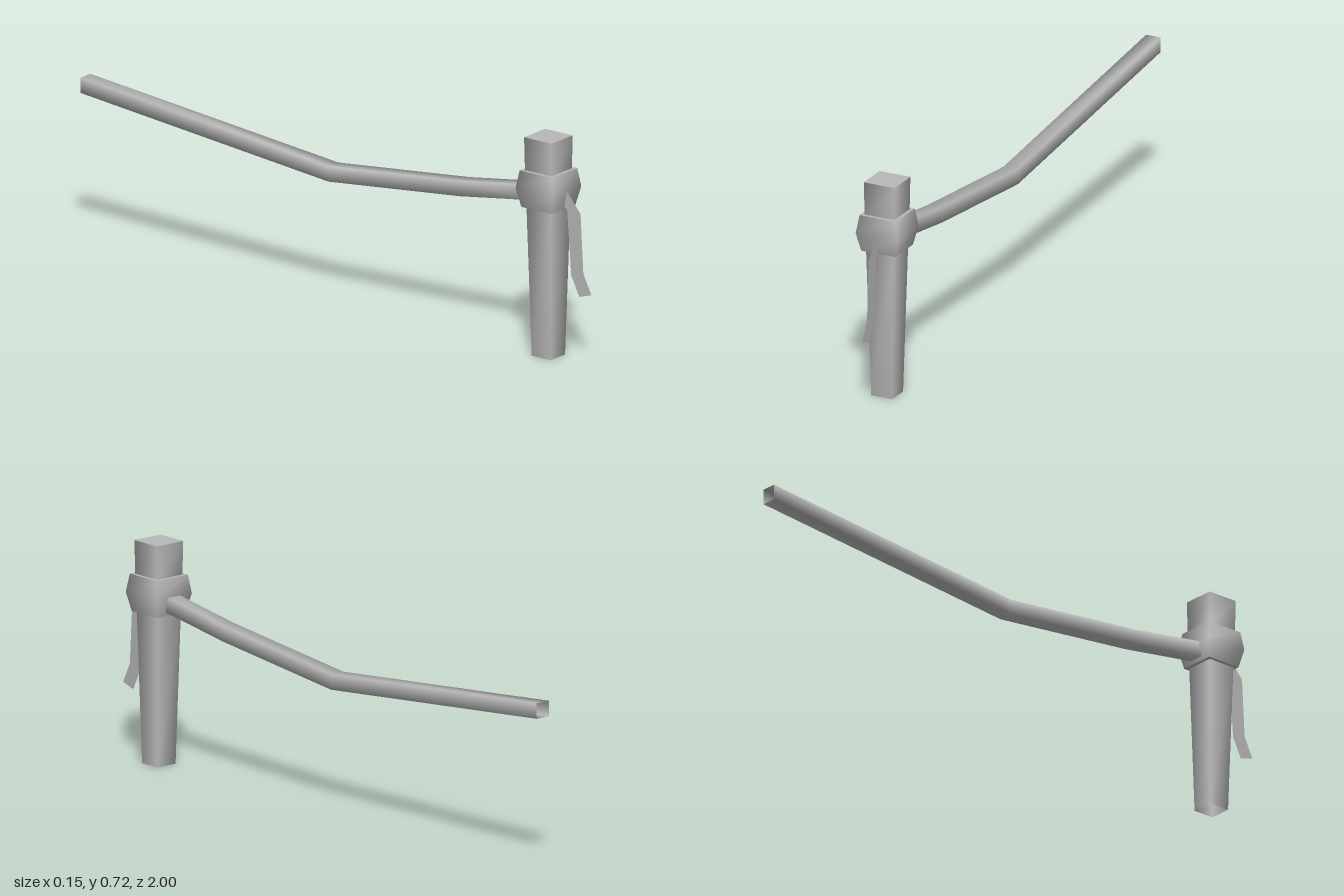
import * as THREE from 'three';

// Smooth square-section skin through rings of four corners
function loft(rings, capStart, capEnd) {
  const pos = [], idx = [];
  rings.forEach(r => r.forEach(p => pos.push(...p)));
  for (let i = 0; i < rings.length - 1; i++) {
    for (let j = 0; j < 4; j++) {
      const a = i * 4 + j, b = i * 4 + (j + 1) % 4;
      idx.push(a, b, b + 4, a, b + 4, a + 4);
    }
  }
  // Caps get their own corners so their edges stay sharp
  const cap = (ring, flip) => {
    const n = pos.length / 3;
    ring.forEach(p => pos.push(...p));
    idx.push(...(flip ? [n, n + 2, n + 1, n, n + 3, n + 2] : [n, n + 1, n + 2, n, n + 2, n + 3]));
  };
  if (capStart) cap(rings[0], true);
  if (capEnd) cap(rings[rings.length - 1], false);
  const g = new THREE.BufferGeometry();
  g.setAttribute('position', new THREE.Float32BufferAttribute(pos, 3));
  g.setIndex(idx);
  g.computeVertexNormals();
  return g;
}

const SIGNS = [[-1, 1], [1, 1], [1, -1], [-1, -1]];
const POST_Z = 0.83;
const levelRing = ([half, y]) => SIGNS.map(([a, b]) => [a * half, y, POST_Z + b * half]);
const ropeRing = ([z, y]) => SIGNS.map(([a, b]) => [a * 0.025, y + b * 0.025, z]);

export function createModel() {
  const group = new THREE.Group();
  const grey = new THREE.MeshStandardMaterial({ color: 0xb8b8b8, side: THREE.DoubleSide });
  grey.name = 'plain grey';
  const add = (name, geometry) => {
    const mesh = new THREE.Mesh(geometry, grey);
    mesh.name = name;
    group.add(mesh);
  };

  // Tapered post, open at the foot
  add('post', loft([[0.037, 0], [0.049, 0.5], [0.052, 0.6], [0.054, 0.717]].map(levelRing), false, true));

  // Bulging rope knot around the post
  add('knot', loft([[0.06, 0.489], [0.073, 0.55], [0.064, 0.609]].map(levelRing), true, true));

  // Sagging rope running back from the knot, open at its far end
  add('rope', loft([[0.8, 0.532], [0.5, 0.486], [-0.02, 0.43], [-1, 0.525]].map(ropeRing), false, false));

  // Flat loose rope end hanging in front, drawn in (z, y)
  const outline = [[0.88, 0.55], [0.904, 0.55], [0.957, 0.487], [0.968, 0.295], [1, 0.23],
    [0.952, 0.215], [0.92, 0.28], [0.904, 0.49], [0.88, 0.51]];
  const flap = new THREE.ShapeGeometry(new THREE.Shape(outline.map(p => new THREE.Vector2(...p))));
  flap.rotateY(-Math.PI / 2);
  add('looseRopeEnd', flap);

  return group;
}
